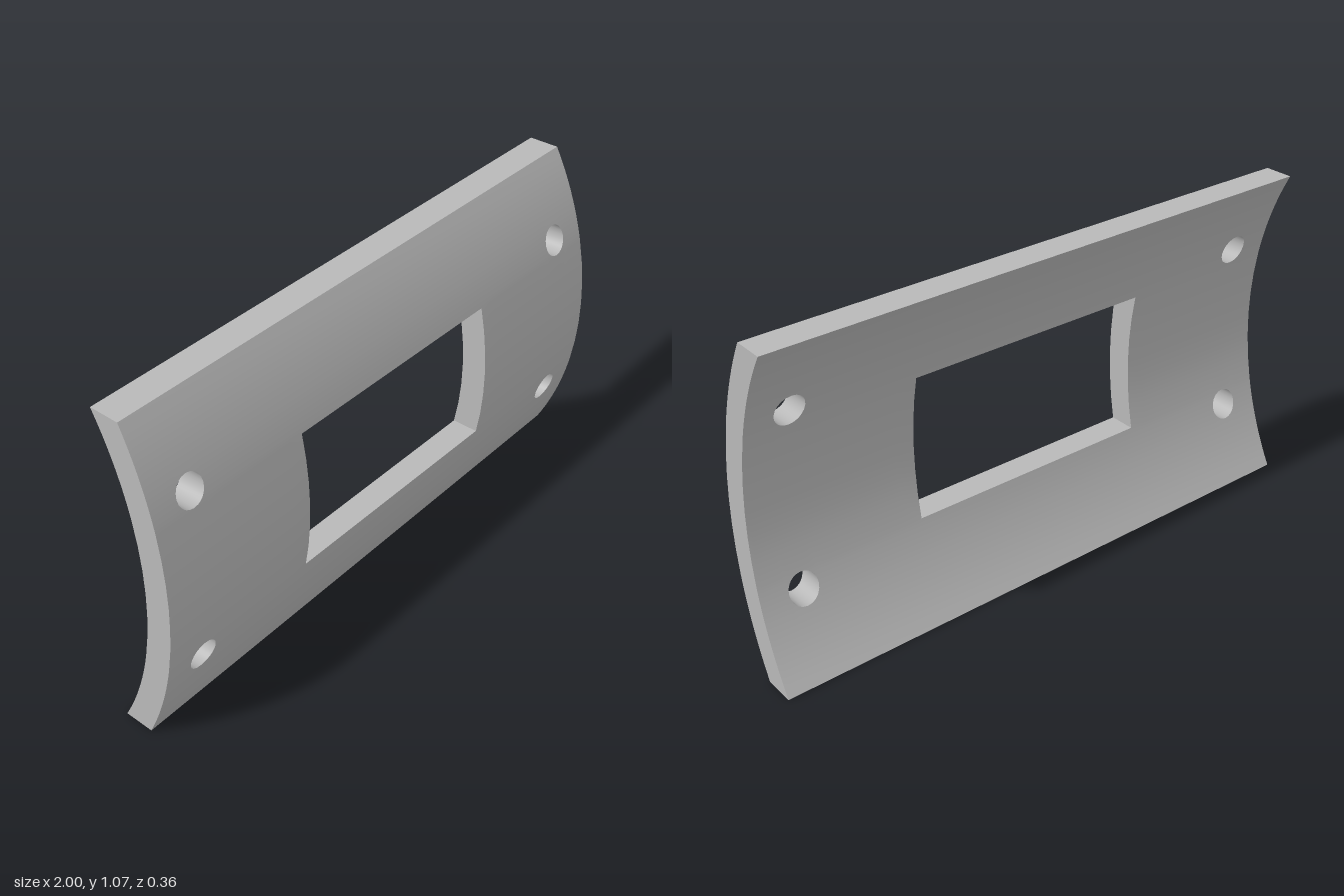
import * as THREE from 'three';
import { mergeGeometries, toCreasedNormals } from 'three/addons/utils/BufferGeometryUtils.js';

const SEG = 6;                 // divisions per grid cell
const MID = 0.535;             // half the plate height
const HOLE_R = 0.05;

// Point on the plate: t = 0 on the hollow back, t = 1 on the bulging front.
// Both faces are parts of cones whose radius shrinks towards +x.
function onPlate(x, y, t) {
  const r = (t ? 1.1125 : 1.0225) - 0.0525 * x;
  return [x, y, Math.sqrt(r * r - (y - MID) ** 2) - 0.989];
}

// Grid of quads from a function of (u, v), each 0..1
function patch(fn, nu, nv, flip = false) {
  const pos = [], index = [];
  for (let j = 0; j <= nv; j++)
    for (let i = 0; i <= nu; i++) pos.push(...fn(i / nu, j / nv));
  for (let j = 0; j < nv; j++)
    for (let i = 0; i < nu; i++) {
      const a = j * (nu + 1) + i, b = a + 1, c = b + nu + 1, d = c - 1;
      index.push(...(flip ? [a, c, b, a, d, c] : [a, b, c, a, c, d]));
    }
  const g = new THREE.BufferGeometry();
  g.setAttribute('position', new THREE.Float32BufferAttribute(pos, 3));
  g.setIndex(index);
  return g;
}

// Wall through the thickness, along a path of [x, y]
const wall = (path, n, flip) => patch((u, v) => onPlate(...path(u), v), n, 1, flip);
const line = (x0, y0, x1, y1) => u => [x0 + (x1 - x0) * u, y0 + (y1 - y0) * u];

// Counterclockwise walk round a rectangle
function rectPath(x0, x1, y0, y1) {
  const c = [[x0, y0], [x1, y0], [x1, y1], [x0, y1]];
  return u => {
    const s = Math.min(3, Math.floor(u * 4 + 1e-6)), f = u * 4 - s;
    const p = c[s], q = c[(s + 1) % 4];
    return [p[0] + (q[0] - p[0]) * f, p[1] + (q[1] - p[1]) * f];
  };
}

export function createModel() {
  const steel = new THREE.MeshStandardMaterial({ color: 0xb8b8b8 });
  steel.name = 'plain grey';
  const parts = [];

  const xs = [-1, -0.91, -0.806, -0.43, 0.43, 0.806, 0.91, 1];
  const ys = [0, 0.197, 0.301, 0.769, 0.873, 1.07];

  for (let i = 0; i < 7; i++) {
    for (let j = 0; j < 5; j++) {
      const [x0, x1, y0, y1] = [xs[i], xs[i + 1], ys[j], ys[j + 1]];
      const rim = rectPath(x0, x1, y0, y1);

      // Rectangular window
      if (i === 3 && j === 2) {
        parts.push(wall(rim, SEG * 4, true));
        continue;
      }

      const hasHole = (i === 1 || i === 5) && (j === 1 || j === 3);
      if (hasHole) {
        // Screw hole: a ring from the circle out to the cell border
        const cx = (x0 + x1) / 2, cy = (y0 + y1) / 2;
        const circle = u => {
          const [px, py] = rim(u), a = Math.atan2(py - cy, px - cx);
          return [cx + HOLE_R * Math.cos(a), cy + HOLE_R * Math.sin(a)];
        };
        for (const t of [0, 1])
          parts.push(patch((u, v) => onPlate(...(v ? rim(u) : circle(u)), t), SEG * 4, 1, t === 1));
        parts.push(wall(circle, SEG * 4, true));
      } else {
        // Plain curved cell, front and back
        for (const t of [0, 1])
          parts.push(patch((u, v) => onPlate(x0 + (x1 - x0) * u, y0 + (y1 - y0) * v, t), SEG, SEG, t === 0));
      }

      // Outer edges
      if (j === 0) parts.push(wall(line(x0, y0, x1, y0), SEG));
      if (j === 4) parts.push(wall(line(x1, y1, x0, y1), SEG));
      if (i === 0) parts.push(wall(line(x0, y1, x0, y0), SEG));
      if (i === 6) parts.push(wall(line(x1, y0, x1, y1), SEG));
    }
  }

  const plate = new THREE.Mesh(toCreasedNormals(mergeGeometries(parts), 0.6), steel);
  plate.name = 'curvedPlate';
  const model = new THREE.Group();
  model.name = 'curvedMountingPlate';
  model.add(plate);
  return model;
}
